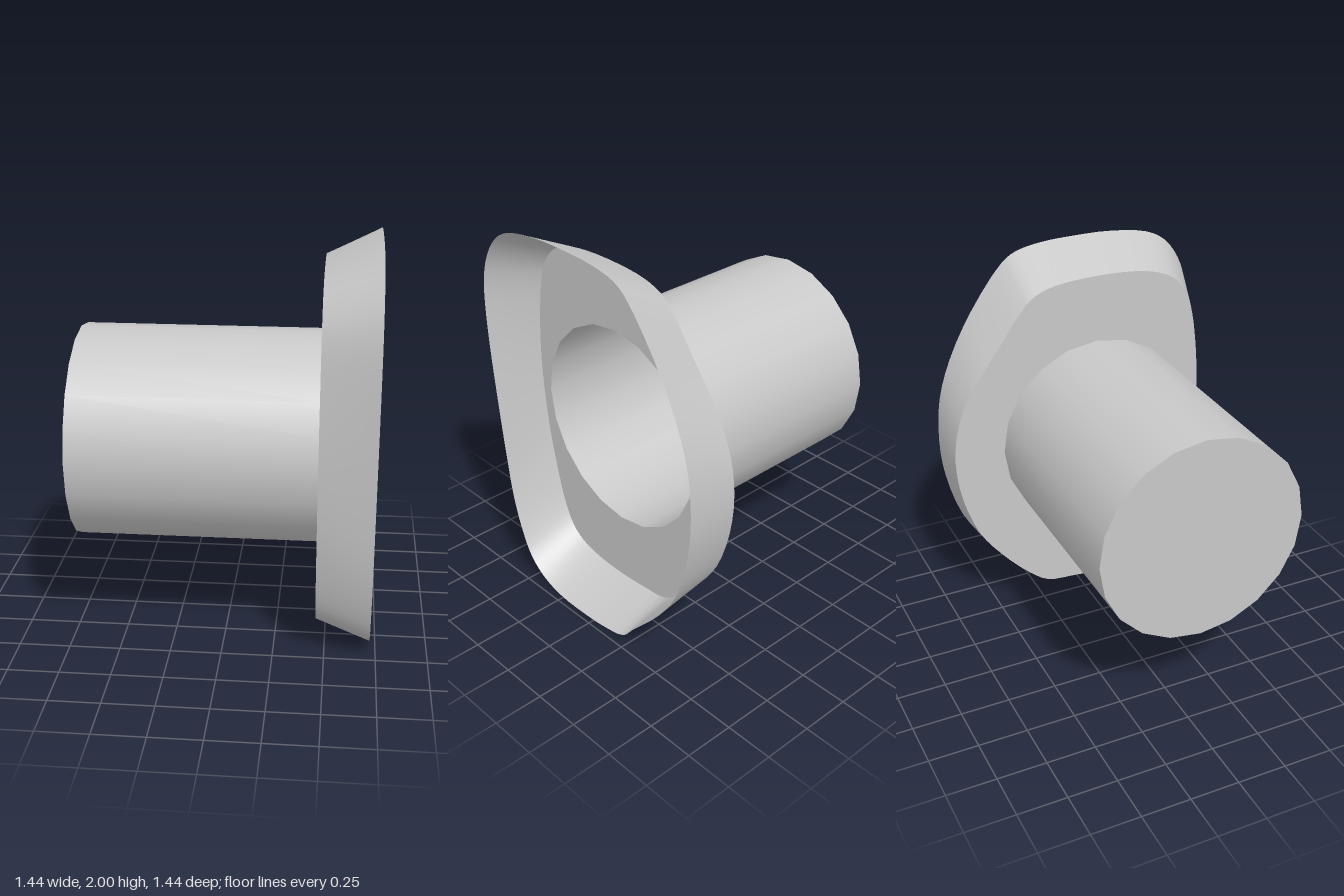
import * as THREE from 'three';

const FLANGE_X = 0.455, MOUTH_X = 0.72, END_X = -0.72;
const RADIUS = 0.525, SIDES = 20, CY = 1, CZ = 0.07;

// Matching outline control points, as [z, y]
const mouthPoints = [
  [0.72, 1.51], [0.71, 1.66], [0.668, 1.79], [0.588, 1.9], [0.482, 1.96], [0.27, 1.995],
  [0.07, 2], [-0.12, 1.992], [-0.25, 1.965], [-0.323, 1.92], [-0.5, 1.69], [-0.63, 1.45],
  [-0.7, 1.237], [-0.72, 1], [-0.7, 0.787], [-0.62, 0.52], [-0.5, 0.336], [-0.31, 0.135],
  [-0.23, 0.05], [-0.1, 0.018], [0.07, 0.005], [0.27, 0.013], [0.4, 0.055], [0.498, 0.135],
  [0.56, 0.257], [0.615, 0.44], [0.65, 0.68], [0.69, 1.05], [0.712, 1.3],
];
const flangePoints = [
  [0.64, 1.45], [0.62, 1.58], [0.588, 1.69], [0.51, 1.79], [0.39, 1.845], [0.244, 1.868],
  [0.03, 1.873], [-0.15, 1.858], [-0.25, 1.825], [-0.31, 1.78], [-0.46, 1.58], [-0.604, 1.386],
  [-0.69, 1.2], [-0.72, 1], [-0.695, 0.78], [-0.615, 0.55], [-0.5, 0.385], [-0.35, 0.225],
  [-0.24, 0.145], [-0.1, 0.127], [0.07, 0.117], [0.244, 0.125], [0.39, 0.16], [0.47, 0.22],
  [0.53, 0.336], [0.58, 0.52], [0.63, 0.78], [0.657, 1.08], [0.655, 1.28],
];

// Smooth closed loop through the control points at a given x
function outline(points, x) {
  const curve = new THREE.CatmullRomCurve3(points.map(([z, y]) => new THREE.Vector3(x, y, z)), true);
  const n = points.length * 3;
  return Array.from({ length: n }, (_, i) => curve.getPoint(i / n));
}

// Ruled skin between two closed loops
function loft(a, b) {
  const n = a.length, index = [];
  for (let i = 0; i < n; i++) {
    const j = (i + 1) % n;
    index.push(i, i + n, j, j, i + n, j + n);
  }
  const geometry = new THREE.BufferGeometry().setFromPoints([...a, ...b]);
  geometry.setIndex(index);
  geometry.computeVertexNormals();
  return geometry;
}

export function createModel() {
  const group = new THREE.Group();
  const grey = new THREE.MeshStandardMaterial({ color: 0xc8c8c8, side: THREE.DoubleSide });
  grey.name = 'grey';
  const add = (name, geometry) => {
    const mesh = new THREE.Mesh(geometry, grey);
    mesh.name = name;
    group.add(mesh);
    return mesh;
  };

  // Hollow barrel, open towards the flange
  const barrel = new THREE.CylinderGeometry(RADIUS, RADIUS, FLANGE_X - END_X, SIDES, 1, true);
  barrel.rotateZ(Math.PI / 2);
  add('barrel', barrel).position.set((FLANGE_X + END_X) / 2, CY, CZ);

  // Closed far end
  const cap = new THREE.CircleGeometry(RADIUS, SIDES).rotateY(-Math.PI / 2);
  add('endCap', cap).position.set(END_X, CY, CZ);

  // Flat flange with the barrel opening cut out
  const inner = outline(flangePoints, FLANGE_X);
  const plate = new THREE.Shape(inner.map((p) => new THREE.Vector2(p.z, p.y)));
  const hole = Array.from({ length: SIDES }, (_, i) => {
    const a = (i / SIDES) * Math.PI * 2;
    return new THREE.Vector2(CZ + RADIUS * Math.cos(a), CY + RADIUS * Math.sin(a));
  });
  plate.holes.push(new THREE.Path(hole));
  const flange = new THREE.ShapeGeometry(plate).rotateY(-Math.PI / 2);
  add('flange', flange).position.x = FLANGE_X;

  // Flared rim around the flange
  add('flaredRim', loft(inner, outline(mouthPoints, MOUTH_X)));

  return group;
}
